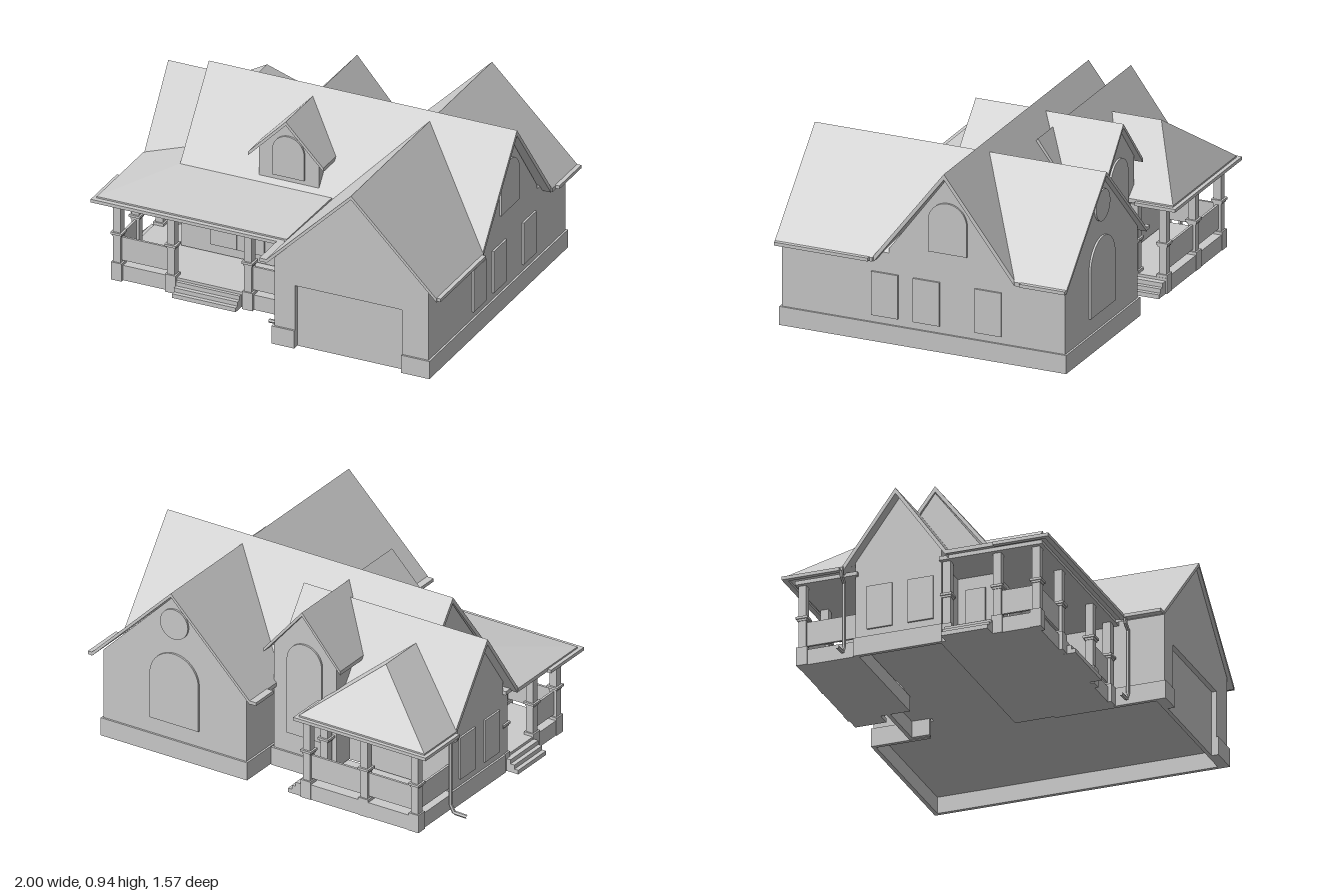
import * as THREE from 'three';
import { ConvexGeometry } from 'three/addons/geometries/ConvexGeometry.js';

export function createModel() {
  const house = new THREE.Group();
  house.name = 'house';
  const mat = new THREE.MeshStandardMaterial({ color: 0xcccccc, flatShading: true });
  const V = (x, y, z) => new THREE.Vector3(x, y, z);

  function add(name, geo) {
    const m = new THREE.Mesh(geo, mat);
    m.name = name;
    house.add(m);
    return m;
  }
  // Box given by its two extreme corners
  function box(name, x0, x1, y0, y1, z0, z1) {
    add(name, new THREE.BoxGeometry(x1 - x0, y1 - y0, z1 - z0))
      .position.set((x0 + x1) / 2, (y0 + y1) / 2, (z0 + z1) / 2);
  }
  // Roof slab: a flat polygon thickened downwards
  function slab(name, pts, t = 0.02) {
    const p = pts.map(a => V(...a));
    add(name, new ConvexGeometry([...p, ...p.map(q => V(q.x, q.y - t, q.z))]));
  }
  // Gabled wall block; the profile is extruded along +z
  function gableBlock(half, base, eave, apex, depth, door) {
    const s = new THREE.Shape();
    s.moveTo(-half, base);
    if (door) {
      s.lineTo(door[0], base); s.lineTo(door[0], door[2]);
      s.lineTo(door[1], door[2]); s.lineTo(door[1], base);
    }
    s.lineTo(half, base); s.lineTo(half, eave); s.lineTo(0, apex); s.lineTo(-half, eave);
    s.closePath();
    return new THREE.ExtrudeGeometry(s, { depth, bevelEnabled: false });
  }
  // Two slopes of a gabled roof running along z into the main roof
  function wingRoof(name, cx, ridge, half, eave, zEnd, zRidge, zEave) {
    for (const s of [-1, 1]) {
      slab(name, [[cx, ridge, zEnd], [cx, ridge, zRidge],
        [cx + s * half, eave, zEave], [cx + s * half, eave, zEnd]]);
    }
  }
  // Window panel: rectangular, arched or round; turn is its facing about y
  function windowPanel(name, kind, w, h, pos, turn) {
    const s = new THREE.Shape();
    const r = w / 2;
    if (kind === 'round') s.absarc(0, r, r, 0, Math.PI * 2);
    else {
      s.moveTo(-r, 0); s.lineTo(r, 0);
      if (kind === 'arch') s.absarc(0, h - r, r, 0, Math.PI);
      else { s.lineTo(r, h); s.lineTo(-r, h); }
      s.closePath();
    }
    const g = new THREE.ExtrudeGeometry(s, { depth: 0.02, bevelEnabled: false, curveSegments: 14 });
    g.translate(0, 0, -0.01);
    const m = add(name, g);
    m.position.set(...pos);
    m.rotation.y = turn;
  }

  // Wall blocks, their floor raised above the ground
  const F = 0.085;
  add('mainWalls', gableBlock(0.31, F, 0.485, 0.9, 1.59).rotateY(Math.PI / 2)).position.set(-0.665, 0, -0.11);
  add('sideWalls', gableBlock(0.22, F, 0.495, 0.808, 0.5).rotateY(Math.PI / 2)).position.set(-0.88, 0, -0.215);
  add('wingWalls', gableBlock(0.41, F, 0.462, 0.873, 1.47)).position.set(0.515, 0, -0.73);
  add('wingFront', gableBlock(0.41, F, 0.462, 0.873, 0.025, [-0.3, 0.27, 0.335])).position.set(0.515, 0, 0.74);
  add('rearBayWalls', gableBlock(0.18, F, 0.655, 0.865, 0.4)).position.set(-0.1, 0, -0.53);
  add('dormerWalls', gableBlock(0.16, 0.5, 0.703, 0.869, 0.2)).position.set(-0.1, 0, -0.015);
  box('garageDoorFoot', 0.215, 0.785, 0, 0.1, 0.72, 0.74);

  // Plinth skirt around the outer walls
  const plinth = (x0, x1, z0, z1) => box('plinth', x0, x1, 0, 0.095, z0, z1);
  plinth(0.915, 0.935, -0.74, 0.775);
  plinth(0.095, 0.935, -0.74, -0.72);
  plinth(0.095, 0.115, -0.72, -0.44);
  plinth(0.095, 0.115, 0.2, 0.775);
  plinth(0.095, 0.215, 0.72, 0.775);
  plinth(0.785, 0.935, 0.72, 0.775);
  plinth(-0.29, 0.09, -0.54, -0.52);
  plinth(0.07, 0.09, -0.52, -0.43);
  plinth(-0.89, -0.87, -0.445, 0.01);

  // Main roof and the lower side roof
  const ridgeRoof = (name, x0, x1, y, z, eave, zs) => zs.forEach(ze =>
    slab(name, [[x0, y, z], [x1, y, z], [x1, eave, ze], [x0, eave, ze]], 0.03));
  ridgeRoof('mainRoof', -0.67, 0.97, 0.935, -0.11, 0.455, [0.26, -0.48]);
  ridgeRoof('sideRoof', -0.935, 0.12, 0.83, -0.21, 0.458, [0.05, -0.485]);

  // Cross gables and dormers
  wingRoof('frontWingRoof', 0.52, 0.895, 0.455, 0.445, 0.78, -0.08, 0.265);
  wingRoof('rearWingRoof', 0.52, 0.895, 0.455, 0.445, -0.76, -0.14, -0.485);
  wingRoof('dormerRoof', -0.1, 0.89, 0.2, 0.685, 0.22, -0.075, 0.08);
  wingRoof('rearBayRoof', -0.1, 0.885, 0.22, 0.63, -0.56, -0.15, -0.34);

  // Front porch roof, wrapping round the corner
  slab('porchRoof', [[-0.94, 0.455, 0.56], [0.07, 0.455, 0.56], [0.14, 0.53, 0.21], [-0.67, 0.53, 0.21]]);
  slab('porchRoof', [[-0.94, 0.455, 0.56], [-0.67, 0.53, 0.21], [-0.67, 0.53, 0], [-0.94, 0.455, 0.05]]);
  box('porchCeiling', -0.9, 0.11, 0.425, 0.445, 0, 0.53);

  // Rear porch hipped roof
  const hipA = [-0.57, 0.735, -0.54], hipB = [-0.57, 0.735, -0.27];
  slab('rearPorchRoof', [[-0.94, 0.455, -0.765], [-0.22, 0.455, -0.765], hipA]);
  slab('rearPorchRoof', [hipA, hipB, [-0.94, 0.455, -0.48], [-0.94, 0.455, -0.765]]);
  slab('rearPorchRoof', [hipA, hipB, [-0.22, 0.455, -0.47], [-0.22, 0.455, -0.765]]);
  box('rearPorchCeiling', -0.9, -0.24, 0.42, 0.44, -0.74, -0.42);

  // Gutters along the eaves
  const gutter = (x0, x1, z0, z1) => box('gutter', x0, x1, 0.43, 0.447, z0, z1);
  gutter(0.97, 0.995, 0.28, 0.775);
  gutter(0.97, 0.995, -0.76, -0.52);
  gutter(0.03, 0.07, 0.57, 0.775);
  gutter(0.03, 0.07, -0.76, -0.61);
  gutter(-0.96, 0.06, 0.56, 0.585);
  gutter(-0.96, -0.935, 0.3, 0.585);
  gutter(-0.96, -0.2, -0.785, -0.76);
  gutter(-0.96, -0.935, -0.785, -0.49);
  gutter(-0.225, -0.2, -0.785, -0.57);

  // Downspouts with a foot kicking outwards
  for (const [x, z] of [[-0.94, -0.485], [0.05, 0.585]]) {
    const path = new THREE.CurvePath();
    const pts = [[0, 0.435], [0, 0.41], [0.035, 0.385], [0.035, 0.05], [0.015, 0.012], [-0.06, 0.01]]
      .map(([dx, y]) => V(x + dx, y, z));
    for (let i = 1; i < pts.length; i++) path.add(new THREE.LineCurve3(pts[i - 1], pts[i]));
    add('downspout', new THREE.TubeGeometry(path, 40, 0.01, 6));
  }

  // Porch floors and steps
  box('porchFloor', -0.88, 0.1, 0, 0.08, 0, 0.5);
  box('rearPorchFloor', -0.88, -0.21, 0, 0.08, -0.735, -0.42);
  for (let i = 0; i < 3; i++) {
    const top = 0.022 * (3 - i), out = 0.022 * (i + 1);
    box('frontStep', -0.54, -0.2, 0, top, 0.49, 0.495 + out);
    box('sideStep', -0.885 - out, -0.87, 0, top, 0.03, 0.27);
    box('rearStep', -0.22, -0.2 + out, 0, top, -0.73, -0.57);
  }

  // Porch posts with base block and collar
  const posts = [[-0.857, 0.49], [-0.57, 0.49], [-0.16, 0.49], [0.065, 0.49], [-0.857, 0.29], [-0.857, 0.03],
    [-0.86, -0.71], [-0.57, -0.71], [-0.24, -0.71], [-0.24, -0.56]];
  for (const [x, z] of posts) {
    const sq = (name, r, y0, y1) => box(name, x - r, x + r, y0, y1, z - r, z + r);
    sq('postBase', 0.028, 0, 0.095);
    sq('post', 0.02, 0.09, 0.43);
    sq('postCollar', 0.024, 0.235, 0.245);
    sq('postCollar', 0.03, 0.245, 0.257);
  }
  // Solid railings
  const railing = (x0, x1, z0, z1) => box('railing', x0, x1, 0.105, 0.23, z0, z1);
  railing(-0.855, -0.57, 0.484, 0.496);
  railing(-0.16, 0.07, 0.484, 0.496);
  railing(-0.863, -0.851, 0.29, 0.49);
  railing(-0.86, -0.24, -0.716, -0.704);
  railing(-0.866, -0.854, -0.71, -0.43);

  // Windows and doors
  const R = Math.PI / 2;
  for (const z of [0.22, 0, -0.325]) windowPanel('rightWindow', 'rect', 0.14, 0.225, [0.925, 0.132, z], R);
  windowPanel('rightArchWindow', 'arch', 0.205, 0.26, [0.925, 0.51, -0.112], R);
  for (const z of [-0.1, -0.31]) windowPanel('sideWindow', 'rect', 0.13, 0.225, [-0.88, 0.132, z], -R);
  windowPanel('porchSideWindow', 'rect', 0.1, 0.225, [-0.667, 0.132, 0.1], -R);
  for (const x of [-0.438, -0.292]) windowPanel('frontDoor', 'rect', 0.142, 0.225, [x, 0.132, 0.2], 0);
  windowPanel('dormerWindow', 'arch', 0.17, 0.22, [-0.1, 0.577, 0.185], 0);
  windowPanel('rearBayWindow', 'arch', 0.2, 0.5, [-0.1, 0.2, -0.53], Math.PI);
  windowPanel('rearArchWindow', 'arch', 0.28, 0.38, [0.515, 0.18, -0.73], Math.PI);
  windowPanel('rearRoundWindow', 'round', 0.16, 0.16, [0.515, 0.64, -0.73], Math.PI);

  return house;
}
